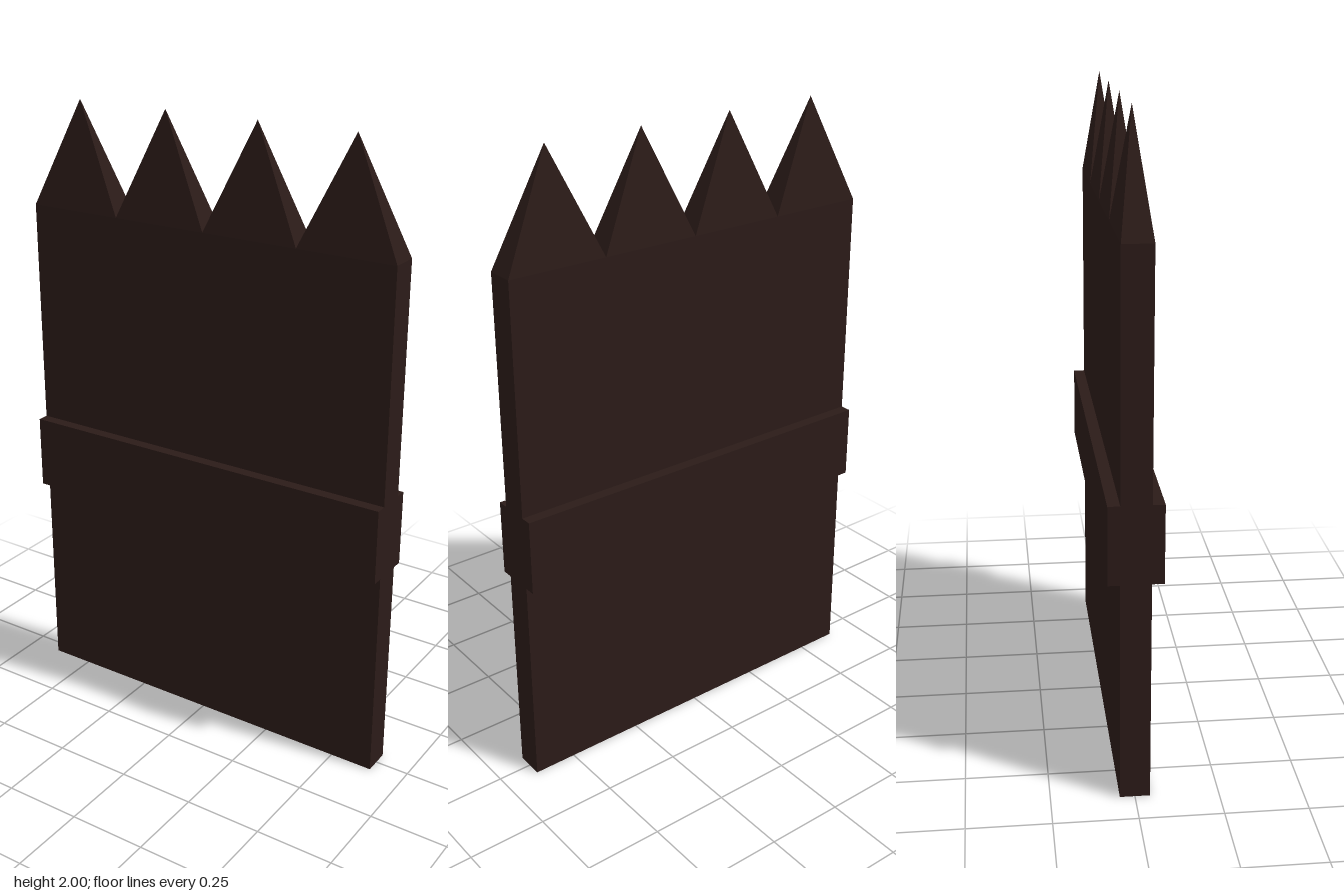
import * as THREE from 'three';

const PLANKS = 4, WIDTH = 0.32, DEPTH = 0.09;
const SHOULDER = 1.66, TIP = 2;
const RAIL_BOTTOM = 0.69, RAIL_TOP = 0.93, RAIL_DEPTH = 0.036;

// Square post with a four-sided point: a four-segment lathe squashed to plank size
function plankGeometry() {
  const r = Math.SQRT1_2;
  const profile = [[0, 0], [r, 0], [r, SHOULDER], [0, TIP]].map(([x, y]) => new THREE.Vector2(x, y));
  const lathe = new THREE.LatheGeometry(profile, 4, Math.PI / 4);
  lathe.scale(WIDTH, 1, DEPTH);
  const flat = lathe.toNonIndexed();
  flat.computeVertexNormals();
  return flat;
}

export function createModel() {
  const fence = new THREE.Group();
  fence.name = 'picketFence';
  const wood = new THREE.MeshStandardMaterial({ color: 0x2b1b18, flatShading: true });

  // Row of pointed planks
  const plank = plankGeometry();
  for (let i = 0; i < PLANKS; i++) {
    const mesh = new THREE.Mesh(plank, wood);
    mesh.name = `plank${i + 1}`;
    mesh.position.x = (i - (PLANKS - 1) / 2) * WIDTH;
    fence.add(mesh);
  }

  // Cross rails on the front and back faces
  const rail = new THREE.BoxGeometry(PLANKS * WIDTH, RAIL_TOP - RAIL_BOTTOM, RAIL_DEPTH);
  for (const [name, side] of [['frontRail', 1], ['backRail', -1]]) {
    const mesh = new THREE.Mesh(rail, wood);
    mesh.name = name;
    mesh.position.set(0, (RAIL_TOP + RAIL_BOTTOM) / 2, side * (DEPTH + RAIL_DEPTH) / 2);
    fence.add(mesh);
  }
  return fence;
}
